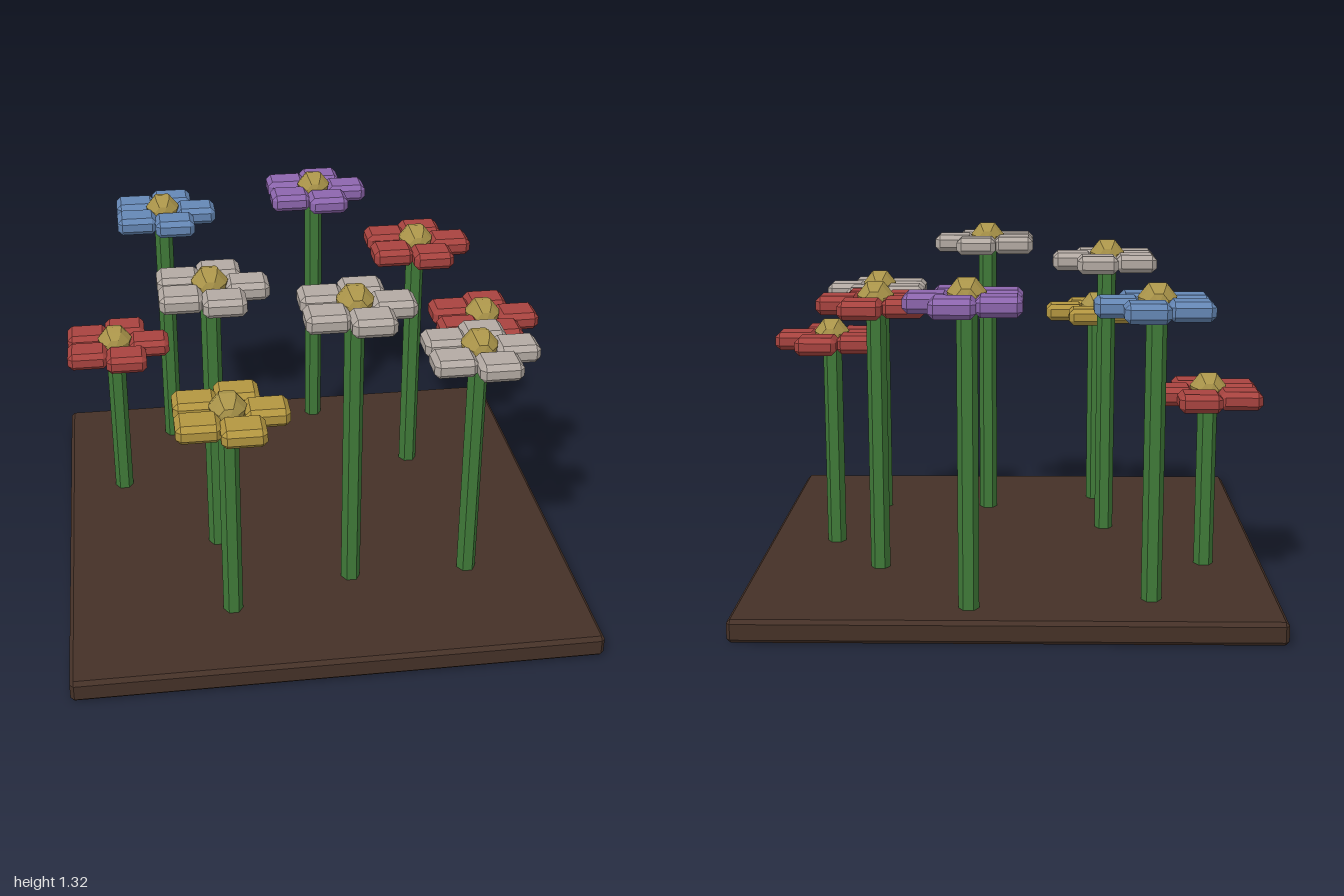
import * as THREE from 'three';
import { ConvexGeometry } from 'three/addons/geometries/ConvexGeometry.js';

const mat = (color) => new THREE.MeshStandardMaterial({ color, flatShading: true });

// Box with every edge and corner cut by a flat chamfer
function chamferBox(w, h, d, b) {
  const points = [];
  for (const sx of [-1, 1]) for (const sy of [-1, 1]) for (const sz of [-1, 1]) {
    const x = w / 2, y = h / 2, z = d / 2;
    points.push(
      new THREE.Vector3(sx * x, sy * (y - b), sz * (z - b)),
      new THREE.Vector3(sx * (x - b), sy * y, sz * (z - b)),
      new THREE.Vector3(sx * (x - b), sy * (y - b), sz * z),
    );
  }
  return new ConvexGeometry(points);
}

export function createModel() {
  const model = new THREE.Group();
  model.name = 'flowerBed';

  const add = (parent, name, geometry, material, x, y, z) => {
    const mesh = new THREE.Mesh(geometry, material);
    mesh.name = name;
    mesh.position.set(x, y, z);
    parent.add(mesh);
    return mesh;
  };

  const soil = mat(0x453127);
  const green = mat(0x3f7a38);
  const gold = mat(0xab954a);
  const red = mat(0xa8433f);
  const white = mat(0xb3aaa3);
  const blue = mat(0x6587b5);
  const purple = mat(0x8d66ae);
  const yellow = mat(0xb39640);

  // Soil slab
  add(model, 'soilBase', chamferBox(1.947, 0.085, 1.947, 0.014), soil, 0, 0.0425, 0.025);

  const petalGeometry = chamferBox(0.16, 0.07, 0.133, 0.019);
  // Faceted ball with its poles along z and one corner pointing up
  const heartGeometry = new THREE.SphereGeometry(0.07, 7, 6)
    .rotateX(Math.PI / 2)
    .rotateZ(Math.PI / 2);

  // Flowers: x, z, petal height, petal material
  const flowers = [
    [-0.513, -0.705, 1.145, blue],
    [0.138, -0.805, 1.175, purple],
    [-0.745, -0.29, 0.75, red],
    [0.495, -0.35, 1.1, red],
    [0.705, -0.02, 0.91, red],
    [-0.382, 0.182, 1.2, white],
    [-0.362, 0.635, 0.925, yellow],
    [0.107, 0.488, 1.24, white],
    [0.565, 0.488, 1.035, white],
  ];

  for (const [x, z, height, petalMaterial] of flowers) {
    const flower = new THREE.Group();
    flower.name = 'flower';
    flower.position.set(x, 0, z);
    model.add(flower);

    // Six-sided stem rooted in the slab
    const foot = 0.01;
    const stemGeometry = new THREE.CylinderGeometry(0.037, 0.037, height - foot, 6).rotateY(Math.PI / 2);
    add(flower, 'stem', stemGeometry, green, 0, (height + foot) / 2, 0);

    // Five square-set petals around the heart
    for (let i = 0; i < 5; i++) {
      const a = (i * Math.PI * 2) / 5;
      add(flower, 'petal', petalGeometry, petalMaterial, 0.137 * Math.cos(a), height, 0.137 * Math.sin(a));
    }

    add(flower, 'flowerHeart', heartGeometry, gold, 0, height + 0.02, 0);
  }

  return model;
}
